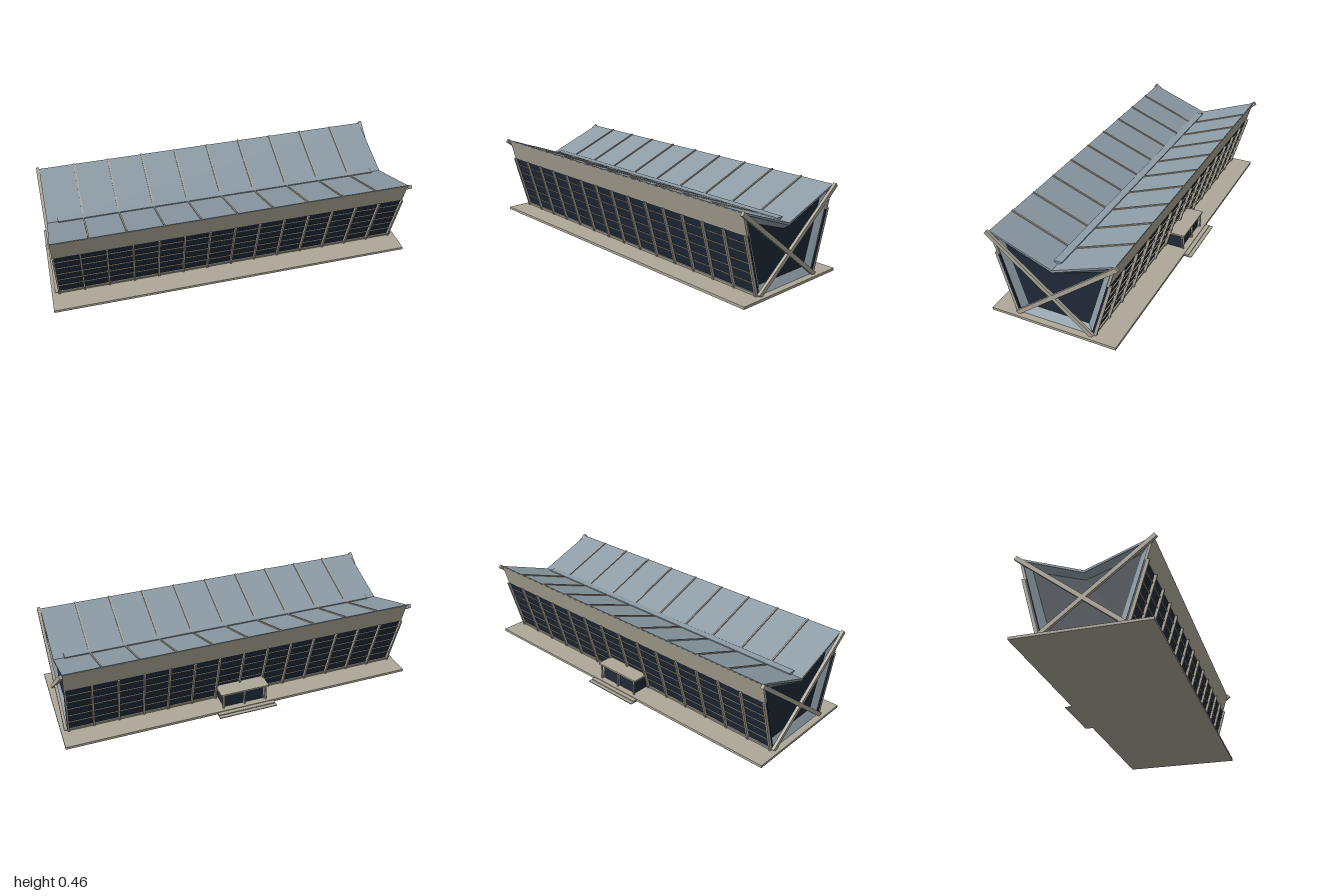
import * as THREE from 'three';

const material = (name, color, side = THREE.FrontSide) => {
  const m = new THREE.MeshStandardMaterial({ color, side });
  m.name = name;
  return m;
};

export function createModel() {
  const stone = material('warm concrete', 0xaea899);
  const metal = material('blue grey metal', 0x8d9ca6);
  const reveal = material('blue grey reveal', 0x8d9ca6, THREE.DoubleSide);
  reveal.color = metal.color;
  const glass = material('dark glass', 0x202b39);

  const model = new THREE.Group();
  model.name = 'butterflyRoofHall';
  const hall = new THREE.Group();
  hall.name = 'hall';
  hall.position.z = 0.0155;
  hall.rotation.y = -0.008; // the hall stands slightly askew
  model.add(hall);

  const add = (name, geometry, mat) => {
    const mesh = new THREE.Mesh(geometry, mat);
    mesh.name = name;
    hall.add(mesh);
    return mesh;
  };
  const box = (name, mat, x0, x1, y0, y1, z0, z1) => {
    const mesh = add(name, new THREE.BoxGeometry(x1 - x0, y1 - y0, z1 - z0), mat);
    mesh.position.set((x0 + x1) / 2, (y0 + y1) / 2, (z0 + z1) / 2);
    return mesh;
  };
  // Section of [z, y] points, extruded along x
  const section = (pts) => new THREE.Shape(pts.map(([z, y]) => new THREE.Vector2(z, y)));
  const prism = (name, mat, pts, x0, x1) => {
    const g = new THREE.ExtrudeGeometry(section(pts), { depth: x1 - x0, bevelEnabled: false });
    g.translate(0, 0, -x1).rotateY(-Math.PI / 2);
    return add(name, g, mat);
  };

  const END = 0.965, FLOOR = 0.014, GLASS_TOP = 0.336;
  const wallZ = (y) => 0.21 + (y - FLOOR) * 0.284; // outward leaning wall line
  // Strip on the leaning wall between two heights and two offsets
  const leaning = (name, mat, side, y0, y1, in0, out, x0, x1) => prism(name, mat, [
    [side * (wallZ(y0) + in0), y0], [side * (wallZ(y0) + out), y0],
    [side * (wallZ(y1) + out), y1], [side * (wallZ(y1) + in0), y1],
  ], x0, x1);

  // Base slab
  box('baseSlab', stone, -1, 1, 0, FLOOR, -0.346, 0.346);

  const BAYS = 14;
  for (const side of [1, -1]) {
    // Long glazed wall with fascia above
    leaning('glassWall', glass, side, FLOOR, GLASS_TOP, -0.012, 0, -END, END);
    leaning('fascia', stone, side, GLASS_TOP, 0.452, -0.012, 0.002, -END, END);
    leaning('sill', stone, side, FLOOR, 0.028, 0, 0.008, -END, END);
    for (let i = 0; i <= BAYS; i++) {
      const x = -0.96 + (1.92 * i) / BAYS;
      leaning('mullion', stone, side, FLOOR, 0.338, 0, 0.015, x - 0.005, x + 0.005);
    }
    for (let i = 0; i < 5; i++) {
      const y = 0.08 + i * 0.0533;
      leaning('glazingRail', stone, side, y - 0.002, y + 0.002, 0, 0.006, -END, END);
    }

    // Roof slope and its ribs
    prism('roofSlope', metal, [
      [0, 0.318], [side * 0.334, 0.447], [side * 0.337, 0.458], [0, 0.331],
    ], -END, END);
    for (let i = -4; i <= 4; i++) {
      const x = i * 0.1925;
      prism('roofRib', stone, [
        [0, 0.33], [side * 0.337, 0.457], [side * 0.335, 0.464], [0, 0.337],
      ], x - 0.004, x + 0.004);
    }
  }

  // Duct along the roof valley
  box('valleyDuct', metal, -0.907, 0.907, 0.322, 0.345, -0.021, 0.021);

  // End walls: splayed reveal, recessed glass, crossed braces
  const outer = [[0.21, FLOOR], [0.334, 0.45], [0, 0.319], [-0.334, 0.45], [-0.21, FLOOR]];
  const inner = [[0.172, 0.052], [0.272, 0.39], [0, 0.295], [-0.272, 0.39], [-0.172, 0.052]];
  const RECESS = 0.03;
  for (const end of [1, -1]) {
    const pos = [];
    const xo = end * END, xi = end * (END - RECESS);
    outer.forEach((a, i) => {
      const j = (i + 1) % outer.length;
      const A = [xo, a[1], a[0]], B = [xo, outer[j][1], outer[j][0]];
      const C = [xi, inner[j][1], inner[j][0]], D = [xi, inner[i][1], inner[i][0]];
      const quad = end > 0 ? [A, B, C, A, C, D] : [A, C, B, A, D, C];
      quad.forEach((p) => pos.push(...p));
    });
    const g = new THREE.BufferGeometry();
    g.setAttribute('position', new THREE.Float32BufferAttribute(pos, 3));
    g.computeVertexNormals();
    add('endReveal', g, reveal);
    prism('endGlass', glass, inner, Math.min(xi, xi - end * 0.008), Math.max(xi, xi - end * 0.008));

    for (const side of [1, -1]) {
      const dz = 0.56, dy = 0.442;
      const brace = add('crossBrace', new THREE.BoxGeometry(0.016, 0.022, Math.hypot(dz, dy)), stone);
      brace.position.set(end * 0.973, 0.014 + dy / 2, side * 0.07);
      brace.rotation.x = -side * Math.atan2(dy, dz);
    }
  }

  // Rear entrance: glazed porch, canopy, columns and steps
  box('porchGlass', glass, -0.12, 0.12, FLOOR, 0.1, -0.311, -0.2);
  box('porchCanopy', stone, -0.14, 0.14, 0.1, 0.11, -0.332, -0.2);
  for (const x of [-0.125, 0, 0.125]) {
    box('porchColumn', stone, x - 0.004, x + 0.004, FLOOR, 0.1, -0.327, -0.319);
    box('porchMullion', stone, x * 0.94 - 0.004, x * 0.94 + 0.004, FLOOR, 0.1, -0.314, -0.31);
  }
  box('upperStep', stone, -0.165, 0.165, 0, 0.01, -0.369, -0.34);
  box('lowerStep', stone, -0.168, 0.168, 0, 0.005, -0.389, -0.34);

  return model;
}
